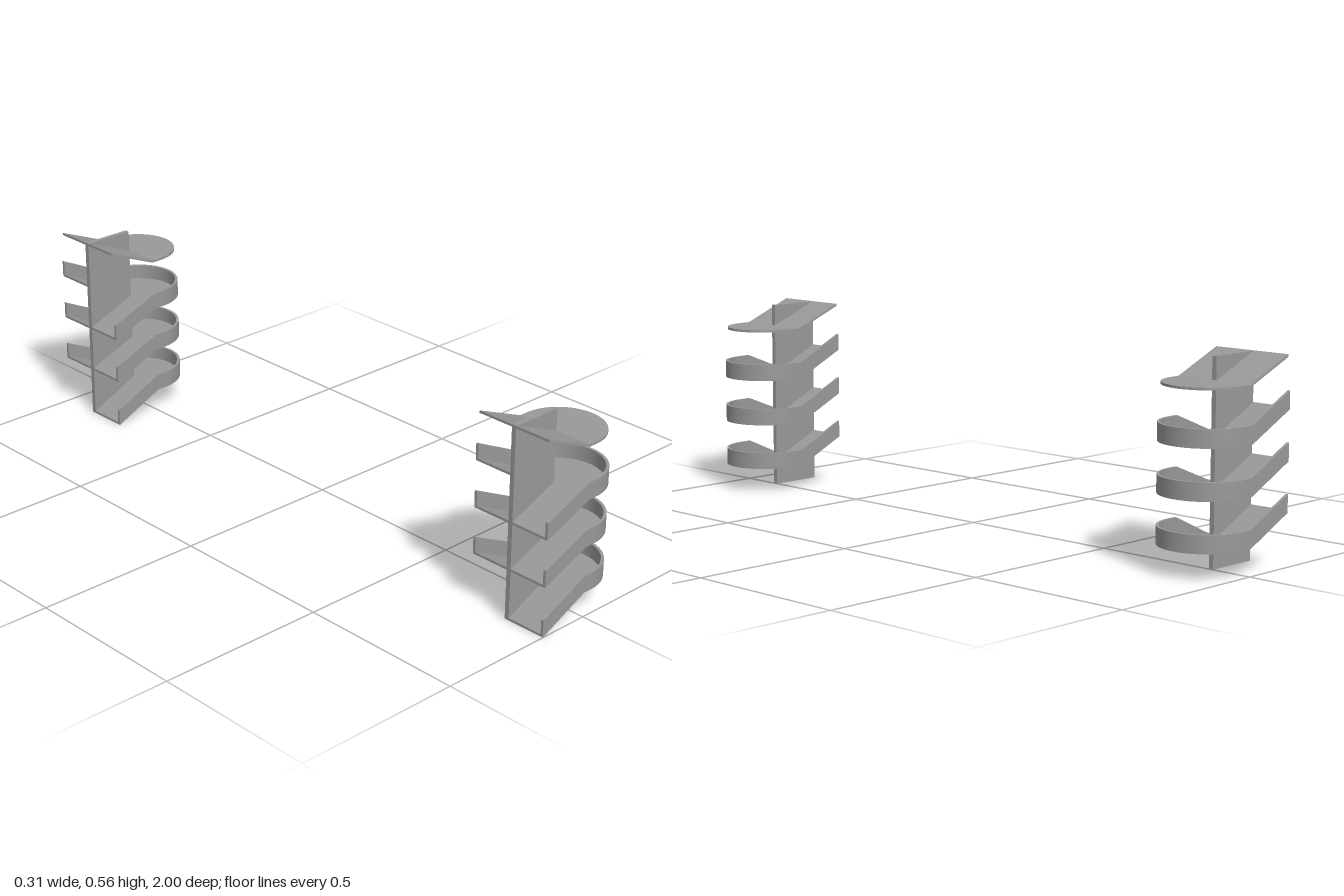
import * as THREE from 'three';
import { toCreasedNormals } from 'three/addons/utils/BufferGeometryUtils.js';

const concrete = new THREE.MeshStandardMaterial({ color: 0x999999 });
concrete.name = 'concrete grey';

const BACK = -0.156;       // open end of the flights
const CX = 0.029;          // centre of the rounded landing
const R = 0.127;           // outer radius of the parapet
const RI = 0.119;          // inner radius, also the slab edge
const SLAB = 0.007;
const RAIL = 0.05;
const ARC = 32;

function part(name, geometry) {
  const mesh = new THREE.Mesh(geometry, concrete);
  mesh.name = name;
  return mesh;
}

// Sloping slab between the open end and the landing, spanning z0..z1
function flight(name, yBack, yLanding, z0, z1) {
  const s = new THREE.Shape([
    new THREE.Vector2(BACK, yBack), new THREE.Vector2(0, yLanding),
    new THREE.Vector2(0, yLanding + SLAB), new THREE.Vector2(BACK, yBack + SLAB),
  ]);
  const g = new THREE.ExtrudeGeometry(s, { depth: z1 - z0, bevelEnabled: false });
  return part(name, g.translate(0, 0, z0));
}

// Flat landing with a half-round end
function landing(name, y) {
  const s = new THREE.Shape();
  s.moveTo(0, -RI);
  s.lineTo(CX, -RI);
  s.absarc(CX, 0, RI, -Math.PI / 2, Math.PI / 2, false);
  s.lineTo(0, RI);
  s.closePath();
  const g = new THREE.ExtrudeGeometry(s, { depth: SLAB, bevelEnabled: false, curveSegments: ARC });
  g.rotateX(Math.PI / 2).translate(0, y + SLAB, 0);
  return part(name, toCreasedNormals(g, 0.5));
}

// Parapet running up the front flight, round the landing and up the rear flight
function parapet(y0, y1, y2) {
  const stations = [[BACK, 1, 0, y0], [0, 1, 0, y1]];
  for (let i = 0; i <= ARC; i++) {
    const a = Math.PI / 2 - (Math.PI * i) / ARC;
    stations.push([CX, Math.sin(a), Math.cos(a), y1]);
  }
  stations.push([0, -1, 0, y1], [BACK, -1, 0, y2]);
  const pos = [], idx = [];
  const ring = [[R, 0], [R, RAIL], [RI, RAIL], [RI, 0]];
  stations.forEach(([x, sz, cx, y], i) => {
    for (const [r, h] of ring) pos.push(x + r * cx, y + h, r * sz);
    if (i === stations.length - 1) return;
    for (let k = 0; k < 4; k++) {
      const a = i * 4 + k, b = i * 4 + ((k + 1) % 4);
      idx.push(a, a + 4, b + 4, a, b + 4, b);
    }
  });
  const e = (stations.length - 1) * 4;
  idx.push(0, 1, 2, 0, 2, 3, e, e + 2, e + 1, e, e + 3, e + 2);
  const g = new THREE.BufferGeometry();
  g.setAttribute('position', new THREE.Float32BufferAttribute(pos, 3));
  g.setIndex(idx);
  return part('parapet', toCreasedNormals(g, 0.4));
}

function createTower() {
  const tower = new THREE.Group();
  tower.name = 'rampTower';

  // Central spine wall
  const wall = new THREE.BoxGeometry(-BACK, 0.563, 0.014);
  tower.add(part('spineWall', wall.translate(BACK / 2, 0.2815, 0)));

  // Three turns: start, landing and end heights
  const turns = [[0, 0.072, 0.146], [0.146, 0.208, 0.283], [0.283, 0.345, 0.42]];
  for (const [y0, y1, y2] of turns) {
    tower.add(flight('frontFlight', y0, y1, 0, RI));
    tower.add(flight('rearFlight', y2, y1, -RI, 0));
    tower.add(landing('landing', y1));
    tower.add(parapet(y0, y1, y2));
  }

  // Roof
  tower.add(landing('roofFlat', 0.493));
  tower.add(flight('roofSlope', 0.557, 0.493, -RI, RI));
  return tower;
}

export function createModel() {
  const model = new THREE.Group();
  model.name = 'twinRampTowers';
  for (const side of [1, -1]) {
    const tower = createTower();
    tower.position.z = side * 0.873;
    model.add(tower);
  }
  return model;
}
